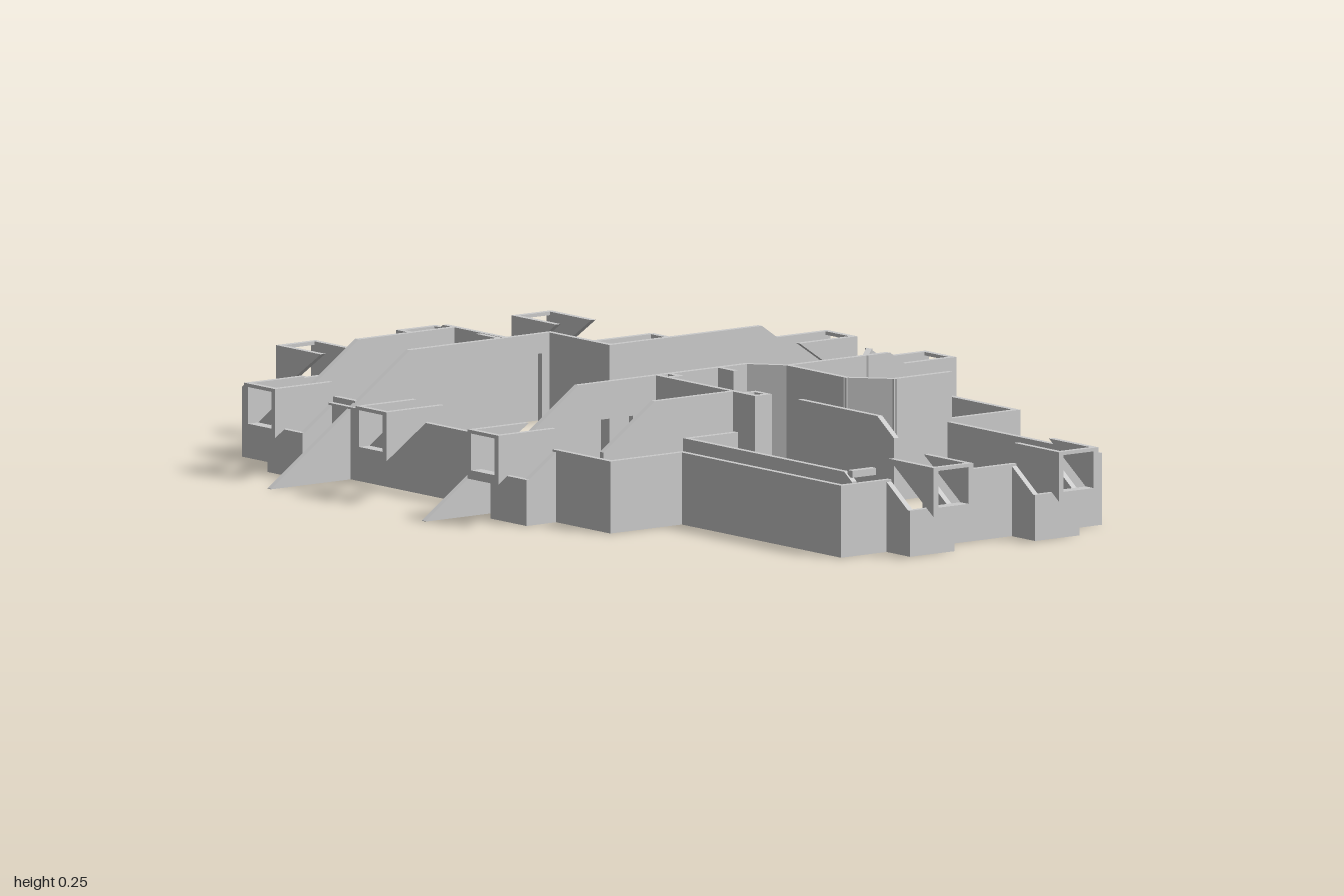
import * as THREE from 'three';

const T = 0.012, EAVE = 0.145, RIDGE = 0.245, SLOPE = 0.7;
// lines where the roof slopes reach the eave and the flat ceiling
const X0 = -0.85, X1 = 0.845, Z0 = -0.54, Z1 = 0.48, RUN = (RIDGE - EAVE) / SLOPE;
const mat = new THREE.MeshStandardMaterial({ color: 0xcccccc, flatShading: true, side: THREE.DoubleSide });

const roofHeight = (x, z) => Math.max(0.001, Math.min(RIDGE,
  EAVE + SLOPE * Math.min(x - X0, X1 - x, z - Z0, Z1 - z)));

function prism(points, depth) {
  const shape = new THREE.Shape(points.map(p => new THREE.Vector2(p[0], p[1])));
  return new THREE.ExtrudeGeometry(shape, { depth, bevelEnabled: false }).translate(0, 0, -depth / 2);
}

function add(group, geometry, name) {
  const mesh = new THREE.Mesh(geometry, mat);
  mesh.name = name;
  group.add(mesh);
  return mesh;
}

// Upright wall between two plan points, its top trimmed to the roof slopes.
// doors: [start, end, height] measured along the wall
function wall(group, name, [xa, za], [xb, zb], top = RIDGE, doors = []) {
  const len = Math.hypot(xb - xa, zb - za), ux = (xb - xa) / len, uz = (zb - za) / len;
  const a = -T / 2, b = len + T / 2;
  const height = s => Math.min(top, roofHeight(xa + ux * s, za + uz * s));
  const rise = (top - EAVE) / SLOPE;
  const cuts = [a, b];
  const cut = (start, dir, values) => {
    if (Math.abs(dir) < 1e-6) return;
    for (const v of values) {
      const s = (v - start) / dir;
      if (s > a + 1e-4 && s < b - 1e-4) cuts.push(s);
    }
  };
  cut(xa, ux, [X0 + RUN, X1 - RUN, X0 + rise, X1 - rise]);
  cut(za, uz, [Z0 + RUN, Z1 - RUN, Z0 + rise, Z1 - rise]);
  cuts.sort((p, q) => q - p);
  const pts = [[a, 0]];
  for (const [s, e, h] of doors) pts.push([s, 0], [s, h], [e, h], [e, 0]);
  pts.push([b, 0]);
  let last = Infinity;
  for (const s of cuts) {
    if (last - s > 1e-4) pts.push([s, height(s)]);
    last = s;
  }
  const mesh = add(group, prism(pts, T), name);
  mesh.position.set(xa, 0, za);
  mesh.rotation.y = -Math.atan2(uz, ux);
}

function run(group, name, points, top) {
  for (let i = 0; i + 1 < points.length; i++) wall(group, name, points[i], points[i + 1], top);
}

// Dormer cheeks and window frame, cut off below by the roof slope; outward is local +x
function dormer(x, z, angle, width = 0.1) {
  const g = new THREE.Group(), L = 0.145, lo = 0.088, hi = 0.187;
  g.name = 'dormer';
  for (const side of [-1, 1]) {
    add(g, prism([[0, hi], [L, lo], [L, hi]], T), 'dormerCheek')
      .position.z = side * (width - T) / 2;
  }
  add(g, prism([[L, lo], [L, lo + 0.018], [L - 0.026, lo + 0.018]], width - T), 'dormerSill');
  add(g, new THREE.BoxGeometry(T, 0.007, width - T).translate(L - T / 2, hi - 0.0035, 0), 'dormerHead');
  g.position.set(x, 0, z);
  g.rotation.y = angle;
  return g;
}

export function createModel() {
  const model = new THREE.Group();
  model.name = 'atticFloor';

  // outer wall with its projecting bays
  const leftBays = [[0.295, 0.19], [-0.01, -0.11], [-0.3, -0.4]];
  const rightBays = [[-0.23, -0.13], [0.085, 0.185]];
  const backBays = [[-0.47, -0.37], [-0.15, -0.05]];
  const frontBays = [[0.155, 0.05], [-0.57, -0.67]];
  const out = 0.075;
  const outline = [[X0, Z1]];
  for (const [a, b] of leftBays) outline.push([X0, a], [X0 - out, a], [X0 - out, b], [X0, b]);
  outline.push([X0, Z0]);
  for (const [a, b] of backBays) outline.push([a, Z0], [a, Z0 - out], [b, Z0 - out], [b, Z0]);
  outline.push([0.33, Z0], [0.33, -0.345], [X1, -0.345]);
  for (const [a, b] of rightBays) outline.push([X1, a], [X1 + out, a], [X1 + out, b], [X1, b]);
  outline.push([X1, 0.3], [0.33, 0.3], [0.33, Z1]);
  for (const [a, b] of frontBays) outline.push([a, Z1], [a, Z1 + out], [b, Z1 + out], [b, Z1]);
  outline.push([X0, Z1]);
  run(model, 'outerWall', outline, EAVE);

  // dormers over the bays, plus one without a bay
  const mid = ([a, b]) => (a + b) / 2;
  for (const b of leftBays) model.add(dormer(X0, mid(b), Math.PI));
  for (const b of rightBays) model.add(dormer(X1 + 0.005, mid(b), 0));
  for (const b of backBays) model.add(dormer(mid(b), Z0, Math.PI / 2));
  for (const b of [...frontBays, [-0.31, -0.21]]) model.add(dormer(mid(b), Z1, -Math.PI / 2));

  // left rooms
  run(model, 'innerWall', [[-0.315, Z0], [-0.315, -0.02], [-0.51, -0.02]]);
  wall(model, 'longWall', [-0.51, -0.02], [-0.51, 0.68], RIDGE, [[0.025, 0.105, 0.205]]);
  wall(model, 'innerWall', [X0, 0.09], [-0.51, 0.09], RIDGE, [[0.2, 0.28, 0.205]]);
  wall(model, 'innerWall', [-0.675, 0.09], [-0.675, Z1]);
  wall(model, 'wallStub', [-0.575, 0.105], [-0.515, 0.105]);
  wall(model, 'wallStub', [-0.575, 0.465], [-0.515, 0.465]);

  // sloping fin outside the front wall
  wall(model, 'frontFin', [-0.01, Z1], [-0.01, 0.68]);

  // middle rooms with angled corners
  run(model, 'innerWall', [[0.035, Z0], [0.035, -0.4], [0.1, -0.34]]);
  run(model, 'innerWall', [[0.1, Z0], [0.1, -0.145], [0.29, -0.145], [0.36, -0.21], [0.36, -0.345]]);
  wall(model, 'angledWall', [0.1, -0.145], [0.035, -0.09]);
  wall(model, 'longWall', [0.035, -0.09], [0.035, Z1], RIDGE,
    [[0.095, 0.18, 0.205], [0.29, 0.37, 0.17]]);
  wall(model, 'wallStub', [0.035, -0.02], [0.085, -0.02]);

  // cross wall with two small shafts
  wall(model, 'crossWall', [0.035, 0.135], [0.355, 0.135]);
  run(model, 'shaft', [[0.035, 0.105], [0.07, 0.105], [0.07, 0.135]]);
  run(model, 'shaft', [[0.315, 0.135], [0.315, 0.105], [0.355, 0.105], [0.355, 0.135]]);
  wall(model, 'innerWall', [0.283, 0.145], [0.283, 0.46]);

  // right wing: knee wall and free-standing screen
  wall(model, 'innerWall', [0.3, 0.145], [0.3, 0.265], 0.165);
  wall(model, 'kneeWall', [0.3, 0.265], [0.835, 0.265], 0.165);
  add(model, new THREE.BoxGeometry(0.015, 0.014, 0.06), 'ledge').position.set(0.83, 0.162, 0.237);
  wall(model, 'screenWall', [0.45, 0.093], [0.75, 0.093]);

  return model;
}
